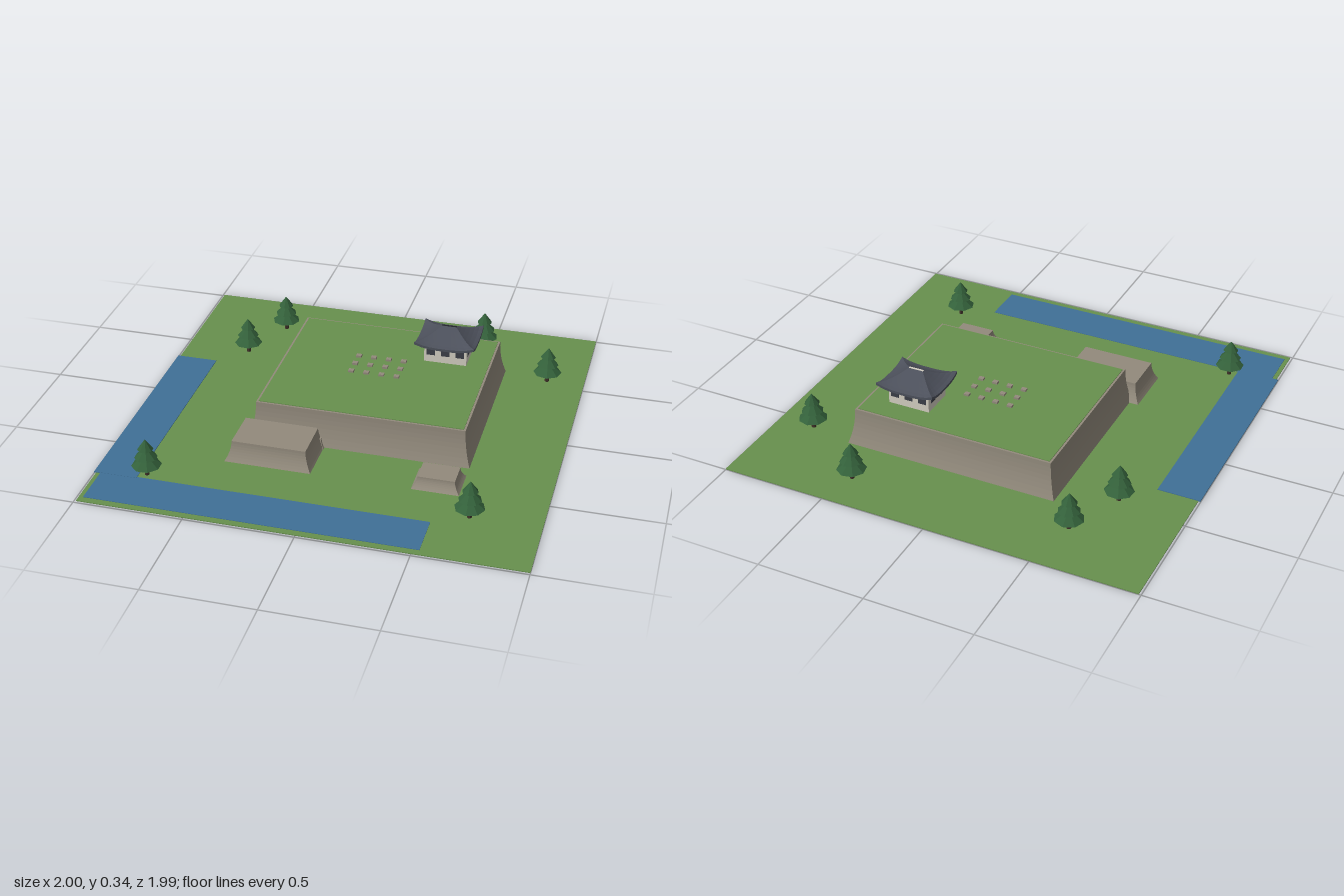
import * as THREE from 'three';

const mat = (name, color, extra = {}) => {
  const m = new THREE.MeshStandardMaterial({ color, flatShading: true, ...extra });
  m.name = name;
  return m;
};

export function createModel() {
  const grass = mat('grass', 0x67904d);
  const water = mat('water', 0x3f7097);
  const stone = mat('stone', 0x928a7c);
  const plaster = mat('plaster', 0xd2cdc0);
  const glass = mat('window', 0x3b3e47);
  const tile = mat('roofTile', 0x4c505b, { side: THREE.DoubleSide });
  const needles = mat('needles', 0x33603a);
  const bark = mat('bark', 0x3f3129);

  const root = new THREE.Group();
  root.name = 'castleRuin';

  const add = (name, geo, material, x = 0, y = 0, z = 0, parent = root) => {
    const mesh = new THREE.Mesh(geo, material);
    mesh.name = name;
    mesh.position.set(x, y, z);
    parent.add(mesh);
    return mesh;
  };

  // Box given by its bounds
  const block = (name, material, x0, x1, y0, y1, z0, z1, parent = root) =>
    add(name, new THREE.BoxGeometry(x1 - x0, y1 - y0, z1 - z0), material,
      (x0 + x1) / 2, (y0 + y1) / 2, (z0 + z1) / 2, parent);

  // Stone rampart: a box whose sides flare outwards in a curve towards the foot
  const rampart = (name, x0, x1, z0, z1, y0, y1, flare) => {
    const w = x1 - x0, d = z1 - z0, h = y1 - y0;
    const geo = new THREE.BoxGeometry(w, h, d, 1, 8, 1);
    const p = geo.attributes.position;
    for (let i = 0; i < p.count; i++) {
      const t = p.getY(i) / h + 0.5;
      const inset = flare * (1 - Math.pow(1 - t, 2));
      p.setX(i, p.getX(i) - Math.sign(p.getX(i)) * inset);
      p.setZ(i, p.getZ(i) - Math.sign(p.getZ(i)) * inset);
    }
    geo.computeVertexNormals();
    return add(name, geo, stone, (x0 + x1) / 2, (y0 + y1) / 2, (z0 + z1) / 2);
  };

  // Ground and the two arms of the moat
  block('ground', grass, -0.99, 1, 0.001, 0.005, -1, 0.99);
  block('moatSide', water, -1, -0.8, 0.003, 0.008, -0.315, 0.765);
  block('moatFront', water, -0.97, 0.53, 0.003, 0.007, 0.755, 0.96);

  // Main terrace, corner bastions and the gate footing
  rampart('mainTerrace', -0.425, 0.61, -0.59, 0.31, 0.002, 0.18, 0.03);
  block('terraceLawn', grass, -0.385, 0.57, 0.176, 0.183, -0.55, 0.27);
  rampart('largeBastion', -0.47, -0.065, 0.27, 0.535, 0.002, 0.1, 0.03);
  rampart('smallBastion', 0.39, 0.61, 0.365, 0.535, 0.002, 0.06, 0.026);
  rampart('gateFooting', -0.24, -0.06, 0.19, 0.33, 0, 0.05, 0.02);

  // Grid of old foundation stones on the lawn
  const stones = new THREE.Group();
  stones.name = 'foundationStones';
  root.add(stones);
  for (let i = 0; i < 4; i++) {
    for (let j = 0; j < 3; j++) {
      add('foundationStone', new THREE.BoxGeometry(0.025, 0.014, 0.022), stone,
        -0.045 + i * 0.073, 0.186, -0.24 + j * 0.073, stones);
    }
  }

  // Corner turret
  const turret = new THREE.Group();
  turret.name = 'turret';
  turret.position.set(0.365, 0.18, -0.363);
  root.add(turret);
  const hw = 0.102, hd = 0.081;
  block('turretWalls', plaster, -hw, hw, 0, 0.108, -hd, hd, turret);
  for (const s of [-1, 1]) {
    for (const x of [-0.07, 0, 0.07]) {
      add('window', new THREE.BoxGeometry(0.04, 0.032, 0.004), glass, x, 0.056, s * hd, turret);
    }
    for (const z of [-0.038, 0.038]) {
      add('window', new THREE.BoxGeometry(0.004, 0.032, 0.04), glass, s * hw, 0.056, z, turret);
    }
  }

  // Hipped roof lofted from rectangular rings: soffit, eave edge, then a concave slope
  const rings = [
    { x: 0.1, z: 0.08, y: 0.094, lift: 0 },
    { x: 0.143, z: 0.122, y: 0.088, lift: 0.02 },
  ];
  for (let i = 0; i <= 6; i++) {
    const t = i / 6;
    rings.push({
      x: 0.143 - 0.107 * t, z: 0.122 - 0.116 * t,
      y: 0.1 + 0.062 * Math.pow(t, 1.4), lift: 0.02 * (1 - t) * (1 - t),
    });
  }
  const n = 8;
  const sides = [[-1, 1, 1, 1], [1, 1, 1, -1], [1, -1, -1, -1], [-1, -1, -1, 1]];
  const pos = [];
  const idx = [];
  for (const [ax, az, bx, bz] of sides) {
    const base = pos.length / 3;
    for (const r of rings) {
      for (let k = 0; k <= n; k++) {
        const f = k / n;
        const bend = Math.pow(Math.abs(2 * f - 1), 3);
        pos.push(r.x * (ax + (bx - ax) * f), r.y + r.lift * bend, r.z * (az + (bz - az) * f));
      }
    }
    for (let i = 0; i < rings.length - 1; i++) {
      for (let k = 0; k < n; k++) {
        const a = base + i * (n + 1) + k, c = a + n + 1;
        idx.push(a, a + 1, c, a + 1, c + 1, c);
      }
    }
  }
  const roofGeo = new THREE.BufferGeometry();
  roofGeo.setAttribute('position', new THREE.Float32BufferAttribute(pos, 3));
  roofGeo.setIndex(idx);
  roofGeo.computeVertexNormals();
  add('turretRoof', roofGeo, tile, 0, 0, 0, turret);

  // Pine trees: trunk with three tiers of branches
  const trunkGeo = new THREE.CylinderGeometry(0.008, 0.011, 0.07, 6);
  const tiers = [[0.068, 0.056, 0.055], [0.052, 0.097, 0.052], [0.036, 0.138, 0.05]]
    .map(([r, y, h]) => new THREE.ConeGeometry(r, h, 8).translate(0, y + h / 2, 0));
  const spots = [[-0.56, -0.73], [-0.675, -0.455], [0.455, -0.815],
    [0.82, -0.545], [-0.765, 0.72], [0.683, 0.675]];
  spots.forEach(([x, z], i) => {
    const tree = new THREE.Group();
    tree.name = 'pineTree';
    tree.position.set(x, 0, z);
    tree.rotation.y = i * 0.3;
    root.add(tree);
    add('trunk', trunkGeo, bark, 0, 0.038, 0, tree);
    tiers.forEach((g) => add('branches', g, needles, 0, 0, 0, tree));
  });

  return root;
}
